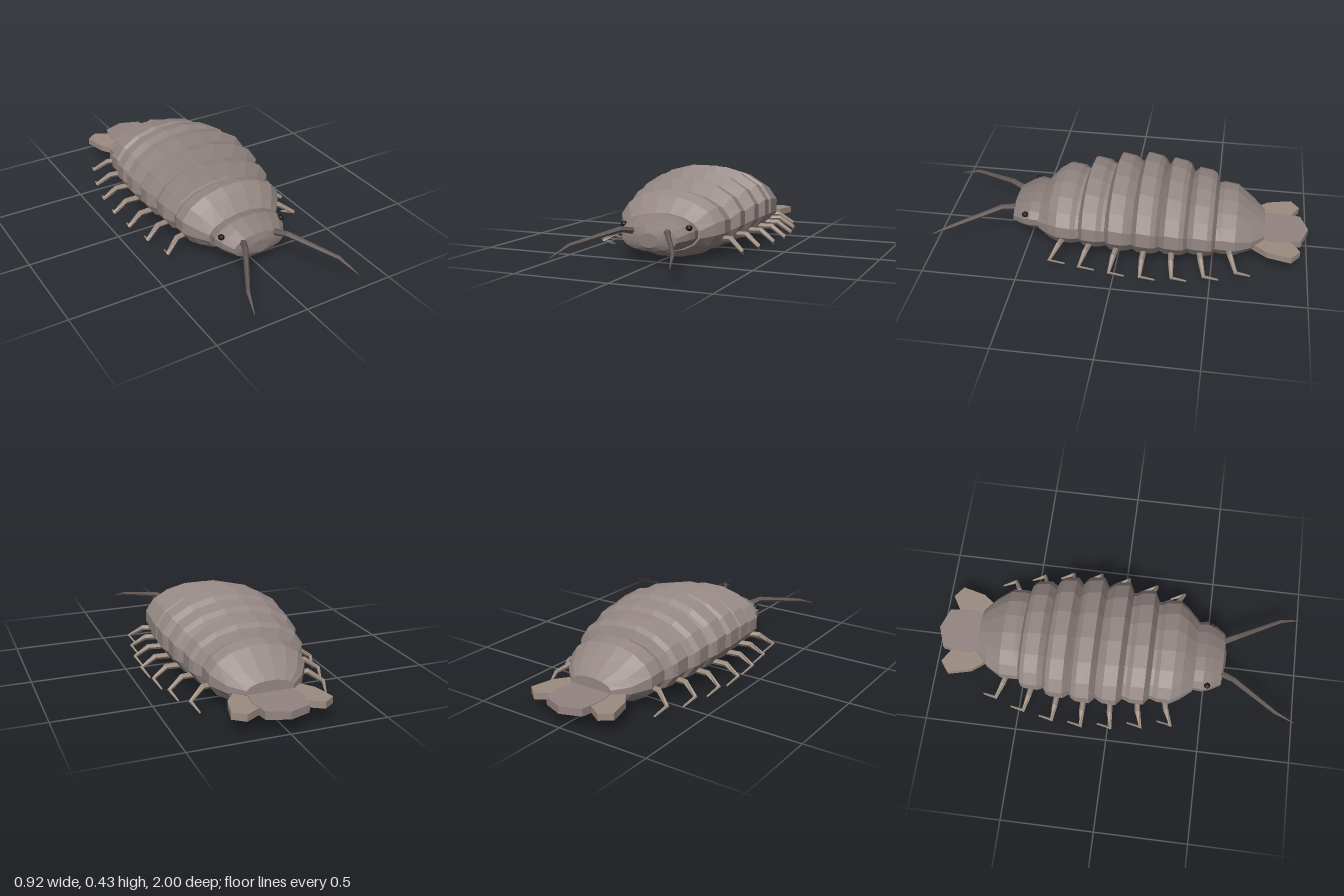
import * as THREE from 'three';

const V = (x, y, z) => new THREE.Vector3(x, y, z);
const mat = (color) => new THREE.MeshStandardMaterial({ color, flatShading: true, roughness: 0.85 });

// Skin a list of equal-sized rings and close both ends
function loft(rings) {
  const n = rings[0].length, pos = [], idx = [];
  rings.forEach((r) => r.forEach((p) => pos.push(p.x, p.y, p.z)));
  for (let i = 0; i < rings.length - 1; i++) {
    for (let j = 0; j < n; j++) {
      const a = i * n + j, b = i * n + (j + 1) % n;
      idx.push(a, a + n, b, b, a + n, b + n);
    }
  }
  const last = (rings.length - 1) * n;
  for (let j = 1; j < n - 1; j++) {
    idx.push(0, j, j + 1);
    idx.push(last, last + j + 1, last + j);
  }
  const g = new THREE.BufferGeometry();
  g.setAttribute('position', new THREE.Float32BufferAttribute(pos, 3));
  g.setIndex(idx);
  g.computeVertexNormals();
  return g;
}

// 16-sided oval ring across the body: half width, bottom and top heights
function oval([z, rx, bottom, top]) {
  return Array.from({ length: 16 }, (_, j) => {
    const a = (j + 0.5) * Math.PI / 8;
    return V(rx * Math.cos(a), (top + bottom) / 2 + (top - bottom) / 2 * 1.02 * Math.sin(a), z);
  });
}

// Tapering six-sided tube along a few points
function limb(points, radii) {
  return loft(points.map((p, i) => {
    const t = points[Math.min(i + 1, points.length - 1)].clone()
      .sub(points[Math.max(i - 1, 0)]).normalize();
    const u = t.clone().cross(V(0, 1, 0)).normalize();
    const v = u.clone().cross(t);
    return Array.from({ length: 6 }, (_, j) => {
      const a = j * Math.PI / 3;
      return p.clone().addScaledVector(u, radii[i] * Math.cos(a)).addScaledVector(v, radii[i] * Math.sin(a));
    });
  }));
}

// Flat horizontal plate from an (x, z) outline
function plate(outline, top, thickness) {
  const shape = new THREE.Shape(outline.map(([x, z]) => new THREE.Vector2(x, z)));
  return new THREE.ExtrudeGeometry(shape, { depth: thickness, bevelEnabled: false })
    .rotateX(Math.PI / 2).translate(0, top, 0);
}

export function createModel() {
  const group = new THREE.Group();
  const shell = mat(0x958884), headMat = mat(0x8a7d7a), legMat = mat(0x9c8c80);
  const feelerMat = mat(0x625856), eyeMat = mat(0x181818), tailMat = mat(0x938482);
  const add = (name, geometry, material) => {
    const m = new THREE.Mesh(geometry, material);
    m.name = name;
    group.add(m);
    return m;
  };

  // Head
  add('head', loft([
    [0.6, 0.05, 0.09, 0.16], [0.585, 0.15, 0.07, 0.195], [0.53, 0.185, 0.06, 0.225],
    [0.485, 0.202, 0.055, 0.243], [0.43, 0.195, 0.05, 0.235], [0.39, 0.18, 0.05, 0.23],
  ].map(oval)), headMat);

  // Seven overlapping back segments: half width and height
  const widths = [0.295, 0.325, 0.35, 0.359, 0.345, 0.312, 0.258];
  const heights = [0.34, 0.385, 0.417, 0.43, 0.41, 0.37, 0.303];
  const centre = (i) => 0.285 - 0.1435 * i;
  const groove = (i) => [centre(i) - 0.08, 0.45 * (widths[i] + widths[i + 1]), 0.01,
    0.43 * (heights[i] + heights[i + 1])];
  for (let i = 0; i < 7; i++) {
    const c = centre(i), w = widths[i], h = heights[i];
    const front = i === 0
      ? [[0.435, 0.205, 0.045, 0.235], [0.37, 0.262, 0.008, 0.31]]
      : [groove(i - 1)];
    const back = i === 6
      ? [[-0.7, 0.2, 0.03, 0.22], [-0.765, 0.125, 0.075, 0.168]]
      : [[c - 0.062, w * 0.95, 0.004, h * 0.91], groove(i)];
    add('backSegment' + (i + 1), loft([
      ...front, [c + 0.035, w, 0, h], [c - 0.037, w * 0.99, 0, h * 0.96], ...back,
    ].map(oval)), shell);
  }

  // Middle tail plate
  add('tailPlate', plate([[-0.1, -0.68], [0.1, -0.68], [0.13, -0.84], [0.11, -0.96], [0, -1],
    [-0.11, -0.96], [-0.13, -0.84]], 0.112, 0.04), tailMat);

  for (const s of [1, -1]) {
    const side = s > 0 ? 'left' : 'right';

    // Side tail plates
    add(side + 'TailFin', plate([[0.07, -0.68], [0.16, -0.7], [0.225, -0.785], [0.255, -0.91],
      [0.195, -0.955], [0.12, -0.91]].map(([x, z]) => [s * x, z]), 0.109, 0.035), legMat);

    // Eyes
    const eye = add(side + 'Eye', new THREE.SphereGeometry(0.018, 8, 6), eyeMat);
    eye.position.set(s * 0.177, 0.184, 0.51);
    eye.scale.set(1, 0.8, 1);

    // Antennae
    add(side + 'Antenna', limb([
      V(s * 0.08, 0.16, 0.55), V(s * 0.098, 0.168, 0.59), V(s * 0.125, 0.18, 0.65),
      V(s * 0.265, 0.132, 0.89), V(s * 0.3, 0.09, 1),
    ], [0.018, 0.018, 0.015, 0.01, 0.002]), feelerMat);

    // Seven legs, fanning from forward to backward
    for (let i = 0; i < 7; i++) {
      const w = widths[i], z = centre(i), swing = 0.055 - 0.018 * i;
      add(side + 'Leg' + (i + 1), limb([
        V(s * (w - 0.07), 0.105, z), V(s * (w + 0.02), 0.108, z + swing * 0.35),
        V(s * (w + 0.092), 0.058, z + swing), V(s * (w + 0.07), 0.027, z + swing - 0.075),
      ], [0.016, 0.015, 0.011, 0.005]), legMat);
    }
  }
  return group;
}
